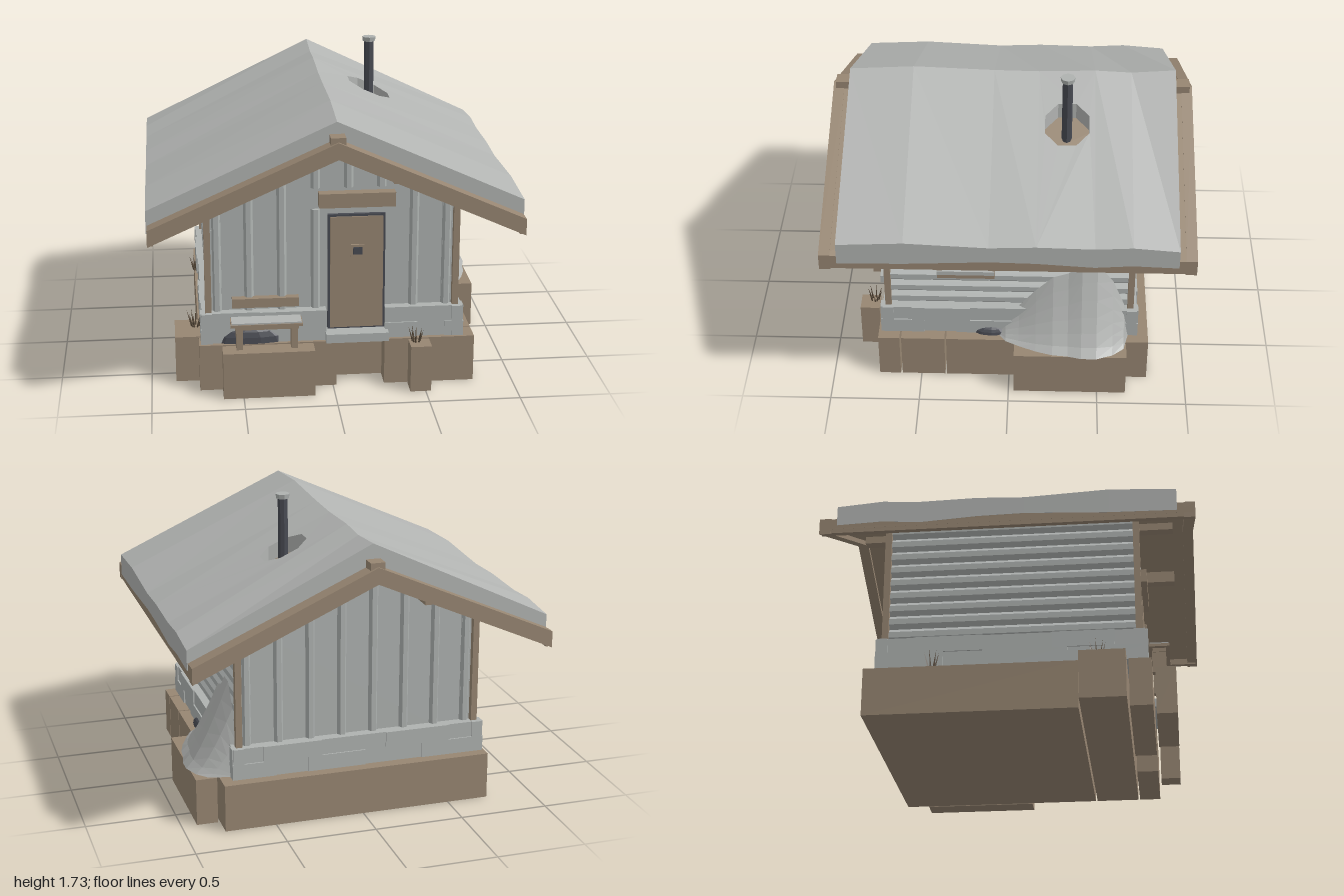
import * as THREE from 'three';

const mat = (name, color) => {
  const m = new THREE.MeshStandardMaterial({ color, flatShading: true, side: THREE.DoubleSide });
  m.name = name;
  return m;
};

export function createModel() {
  const model = new THREE.Group();
  const wood = mat('wood', 0x978672);
  const snow = mat('snow', 0xb2b4b2);
  const wall = mat('weathered boards', 0xaeb2b0);
  const dark = mat('dark iron', 0x484a52);
  const grass = mat('dry grass', 0x5a4c3c);

  const add = (name, geo, m, x = 0, y = 0, z = 0) => {
    const mesh = new THREE.Mesh(geo, m);
    mesh.name = name;
    mesh.position.set(x, y, z);
    model.add(mesh);
    return mesh;
  };
  // box given by its limits
  const box = (name, m, x0, x1, y0, y1, z0, z1) =>
    add(name, new THREE.BoxGeometry(x1 - x0, y1 - y0, z1 - z0), m, (x0 + x1) / 2, (y0 + y1) / 2, (z0 + z1) / 2);
  // outline in x,y extruded between two z values
  const prism = (name, m, pts, z0, z1) => {
    const shape = new THREE.Shape(pts.map(([x, y]) => new THREE.Vector2(x, y)));
    return add(name, new THREE.ExtrudeGeometry(shape, { depth: z1 - z0, bevelEnabled: false }), m, 0, 0, z0);
  };

  // earth plinth, in slabs with thin gaps
  const G = 0.265;
  [
    [-0.735, 0.785, -0.785, 0.355], [-0.865, 0.785, 0.365, 0.61],
    [-0.735, 0.02, 0.62, 0.74], [0.285, 0.785, 0.62, 0.74],
    [-0.61, -0.11, 0.755, 0.865], [0.415, 0.53, 0.755, 0.865],
    [0.797, 0.915, -0.66, -0.03],
  ].forEach(([x0, x1, z0, z1]) => box('groundBlock', wood, x0, x1, 0, G, z0, z1));

  // stone footing: two staggered courses on each side
  box('footingCore', wall, -0.68, 0.68, G, 0.43, -0.68, 0.66);
  const courses = [
    { y0: G, y1: 0.352, joints: [-0.725, -0.36, -0.03, 0.3, 0.48, 0.725] },
    { y0: 0.352, y1: 0.44, joints: [-0.725, -0.52, -0.15, 0.22, 0.55, 0.725] },
  ];
  courses.forEach(({ y0, y1, joints }, row) => {
    for (let i = 0; i < joints.length - 1; i++) {
      const a = joints[i], b = joints[i + 1], out = 0.725 - ((i + row) % 2) * 0.008;
      box('footingStone', wall, a, b, y0, y1, -out, -0.66);
      box('footingStone', wall, -out, -0.66, y0, y1, a, b);
      box('footingStone', wall, 0.66, out, y0, y1, a, b);
    }
    const left = row ? [-0.725, -0.4, -0.035] : [-0.725, -0.665, -0.3, -0.035];
    const right = row ? [0.29, 0.725] : [0.29, 0.47, 0.62, 0.725];
    [left, right].forEach((js) => js.slice(1).forEach((b, i) =>
      box('footingStone', wall, js[i], b, y0, y1, 0.65, 0.72 - ((i + row) % 2) * 0.008)));
  });
  box('doorStep', wall, -0.04, 0.305, G, 0.315, 0.65, 0.77);

  // house body with gables
  prism('houseBody', wall, [[-0.65, 0.3], [0.65, 0.3], [0.65, 1.13], [0, 1.43], [-0.65, 1.13]], -0.66, 0.66);

  // horizontal logs on the long sides
  for (const s of [-1, 1]) {
    for (let i = 0; i < 9; i++) {
      const g = new THREE.CylinderGeometry(0.042, 0.042, 1.33, 8);
      g.rotateY(Math.PI / 8).rotateX(Math.PI / 2);
      add('wallLog', g, wall, s * 0.645, 0.479 + i * 0.078, 0);
    }
    for (const e of [-1, 1])
      add('cornerPost', new THREE.BoxGeometry(0.035, 0.66, 0.035), wood, s * 0.68, 0.77, e * 0.68);
  }

  // upright battens on the gable ends
  const batten = (x, y0, y1, z) => {
    const g = new THREE.CylinderGeometry(0.026, 0.026, y1 - y0, 6);
    g.rotateY(Math.PI / 6);
    add('batten', g, wall, x, (y0 + y1) / 2, z);
  };
  const under = (x) => 1.41 - 0.445 * Math.abs(x);
  [-0.63, -0.455, -0.275, 0.45, 0.63].forEach((x) => batten(x, 0.44, under(x), 0.66));
  batten(-0.09, 0.44, 1.01, 0.66);
  [-0.09, 0.09, 0.27].forEach((x) => batten(x, 1.13, under(x), 0.66));
  for (let i = 0; i < 8; i++) {
    const x = -0.63 + i * 0.18;
    batten(x, 0.44, under(x), -0.66);
  }

  // door with peephole and lintel
  box('doorFrame', dark, -0.025, 0.29, 0.315, 0.98, 0.64, 0.682);
  box('door', wood, -0.012, 0.278, 0.325, 0.968, 0.65, 0.69);
  box('peepholeFrame', wood, 0.1, 0.175, 0.74, 0.81, 0.68, 0.702);
  box('peephole', dark, 0.112, 0.163, 0.755, 0.797, 0.7, 0.706);
  box('lintel', wood, -0.075, 0.34, 1.03, 1.11, 0.65, 0.72);

  // side window
  box('windowTop', wood, 0.65, 0.72, 0.9, 0.94, 0.08, 0.4);
  box('windowBottom', wood, 0.65, 0.72, 0.66, 0.695, 0.08, 0.4);
  box('windowJamb', wood, 0.65, 0.72, 0.69, 0.91, 0.08, 0.115);
  box('windowJamb', wood, 0.65, 0.72, 0.69, 0.91, 0.37, 0.4);
  box('windowPane', dark, 0.65, 0.695, 0.69, 0.91, 0.11, 0.375);
  box('sillSnow', snow, 0.69, 0.73, 0.69, 0.715, 0.08, 0.4);

  // roof deck, barge boards, fascias, ridge beam and purlins
  const chevron = (t, b) => [[-0.995, t - 0.445], [0, t], [0.995, t - 0.445], [0.995, b - 0.445], [0, b], [-0.995, b - 0.445]];
  prism('roofDeck', wood, chevron(1.475, 1.415), -0.99, 0.99);
  prism('frontBarge', wood, chevron(1.478, 1.387), 0.94, 1.0);
  prism('backBarge', wood, chevron(1.478, 1.387), -1.0, -0.94);
  for (const s of [-1, 1]) {
    add('fascia', new THREE.BoxGeometry(0.03, 0.08, 1.98), wood, s * 0.978, 0.987, 0);
    add('purlin', new THREE.BoxGeometry(0.06, 0.07, 1.76), wood, s * 0.335, 1.245, 0);
  }
  box('ridgeBeam', wood, -0.04, 0.04, 1.42, 1.5, -0.985, 0.985);

  // roof snow in strips, with an eight-sided opening melted around the flue
  const stations = [[-0.905, 1.583], [-0.66, 1.564], [-0.46, 1.574], [-0.15, 1.564], [0.1, 1.568], [0.55, 1.585], [0.905, 1.565]];
  const eaves = [1.1, 1.12, 1.108, 1.115, 1.105, 1.127, 1.11];
  const drips = [0.99, 1.0, 0.985, 1.005, 1.01, 0.99, 0.985];
  for (const s of [-1, 1]) for (let i = 0; i < stations.length - 1; i++) {
    const [z0, r0] = stations[i], [z1, r1] = stations[i + 1];
    const shape = new THREE.Shape([[0, -z0], [s, -z0], [s, -z1], [0, -z1]].map((p) => new THREE.Vector2(...p)));
    if (s > 0 && i === 2) {
      const hole = new THREE.Path();
      for (let k = 0; k < 8; k++) {
        const a = (k + 0.5) * Math.PI / 4;
        hole[k ? 'lineTo' : 'moveTo'](0.315 + 0.13 * Math.cos(a), 0.306 + 0.13 * Math.sin(a));
      }
      hole.closePath();
      shape.holes.push(hole);
    }
    const g = new THREE.ExtrudeGeometry(shape, { depth: 1, bevelEnabled: false });
    g.rotateX(-Math.PI / 2);
    const p = g.attributes.position;
    for (let k = 0; k < p.count; k++) {
      const x = Math.abs(p.getX(k)), t = (p.getZ(k) - z0) / (z1 - z0);
      const mix = (a, b) => a + (b - a) * t;
      const top = p.getY(k) > 0.5;
      const ridge = top ? mix(r0, r1) : 1.465;
      const eave = top ? mix(eaves[i], eaves[i + 1]) : mix(drips[i], drips[i + 1]);
      p.setY(k, ridge + (eave - ridge) * x);
    }
    g.computeVertexNormals();
    add('roofSnow', g, snow);
  }

  // stove flue
  add('flue', new THREE.CylinderGeometry(0.028, 0.028, 0.42, 8), dark, 0.315, 1.5, -0.305);
  add('flueCap', new THREE.CylinderGeometry(0.04, 0.036, 0.026, 8), wall, 0.315, 1.717, -0.305);

  // snow drift against the side wall
  const ridge = [[0.1, 0], [0.02, 0.095], [-0.055, 0.175], [-0.15, 0.29], [-0.245, 0.385], [-0.33, 0.415],
    [-0.405, 0.485], [-0.49, 0.485], [-0.58, 0.36], [-0.645, 0.195], [-0.68, 0]];
  const n = ridge.length - 1, rows = 6;
  const drift = new THREE.PlaneGeometry(1, 1, n, rows);
  const dp = drift.attributes.position;
  for (let k = 0; k < dp.count; k++) {
    const [z, h] = ridge[k % (n + 1)], t = Math.floor(k / (n + 1)) / rows;
    dp.setXYZ(k, 0.685 + 0.245 * Math.sqrt(h / 0.485) * t, G + h * Math.pow(1 - t, 1.3), z);
  }
  drift.computeVertexNormals();
  add('snowDrift', drift, snow);

  // bench and back rest
  box('benchSeat', wood, -0.565, -0.175, 0.402, 0.418, 0.725, 0.835);
  box('benchSnow', snow, -0.56, -0.18, 0.418, 0.426, 0.73, 0.83);
  box('benchApron', wood, -0.54, -0.195, 0.38, 0.402, 0.745, 0.815);
  for (const x of [-0.517, -0.218]) box('benchLeg', wood, x - 0.018, x + 0.018, G, 0.39, 0.74, 0.815);
  box('backRest', wood, -0.55, -0.185, 0.465, 0.517, 0.66, 0.705);

  // dark mounds at the footing
  const mound = (x, z, sx, sy, sz) => {
    const g = new THREE.SphereGeometry(1, 10, 4, 0, Math.PI * 2, 0, Math.PI / 2);
    add('darkMound', g.scale(sx, sy, sz), dark, x, G, z);
  };
  mound(-0.45, 0.7, 0.18, 0.09, 0.04);
  mound(0.71, 0.1, 0.04, 0.045, 0.1);

  // dry grass tufts
  [[-0.75, 0.46, 0.1], [0.455, 0.785, 0.09], [-0.72, -0.42, 0.09]].forEach(([x, z, h]) => {
    for (let i = 0; i < 8; i++) {
      const a = i * 2.4, len = h * (0.7 + 0.3 * Math.abs(Math.sin(i * 5.1)));
      const g = new THREE.ConeGeometry(0.006, len, 3);
      g.translate(0, len / 2, 0);
      const blade = add('grassBlade', g, grass, x + 0.02 * Math.cos(a), G, z + 0.02 * Math.sin(a));
      blade.rotation.set(0.28 * Math.sin(a), 0, -0.28 * Math.cos(a));
    }
  });

  return model;
}
